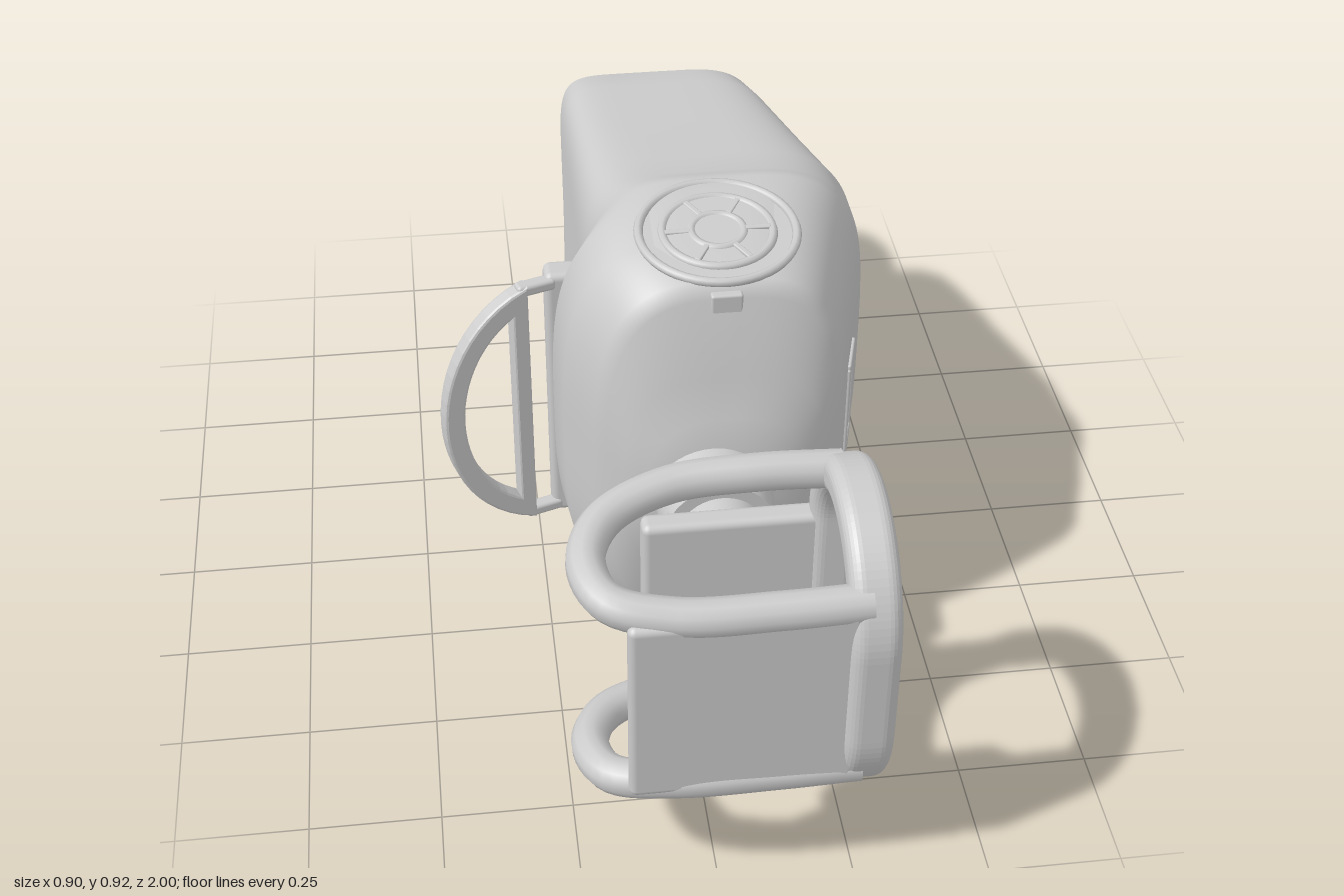
import * as THREE from 'three';
import { RoundedBoxGeometry } from 'three/addons/geometries/RoundedBoxGeometry.js';

const MID = 0.46; // height of the symmetry plane
const mat = new THREE.MeshStandardMaterial({ color: 0xcccccc, side: THREE.DoubleSide });

export function createModel() {
  const model = new THREE.Group();

  const add = (name, geo, x = 0, y = 0, z = 0, parent = model) => {
    const m = new THREE.Mesh(geo, mat);
    m.name = name;
    m.position.set(x, y, z);
    parent.add(m);
    return m;
  };
  const cyl = (r1, r2, h, axis, n = 40) => {
    const g = new THREE.CylinderGeometry(r1, r2, h, n);
    if (axis === 'x') g.rotateZ(-Math.PI / 2);
    if (axis === 'z') g.rotateX(Math.PI / 2);
    return g;
  };
  const box = (w, h, d, r = 0.01) => new RoundedBoxGeometry(w, h, d, 2, r);

  // Loft through superellipse sections: [z, xMin, xMax, half height, left exponent, right exponent, notch]
  const loft = (sections, N = 128) => {
    const pos = [], idx = [];
    for (const [z, x0, x1, h, nl, nr, notch = 0] of sections) {
      const cx = (x0 + x1) / 2;
      for (let j = 0; j < N; j++) {
        const t = (j / N) * Math.PI * 2, c = Math.cos(t), s = Math.sin(t);
        const e = 2 / (c < 0 ? nl : nr);
        const x = cx + Math.sign(c) * Math.abs(c) ** e * (x1 - x0) / 2;
        const dy = Math.sign(s) * Math.abs(s) ** e;
        pos.push(x, MID + dy * h, z + notch * (1 - dy * dy));
      }
    }
    for (let i = 0; i < sections.length - 1; i++) {
      for (let j = 0; j < N; j++) {
        const k = (j + 1) % N, a = i * N + j, b = i * N + k;
        idx.push(a, a + N, b, b, a + N, b + N);
      }
    }
    const g = new THREE.BufferGeometry();
    g.setAttribute('position', new THREE.Float32BufferAttribute(pos, 3));
    g.setIndex(idx);
    g.computeVertexNormals();
    return g;
  };

  // Main housing, tapering to an open, notched rear
  add('housing', loft([
    [0.425, 0.05, 0.09, 0.02, 2.4, 2.4],
    [0.42, -0.02, 0.19, 0.1, 2.4, 2.4],
    [0.4, -0.07, 0.24, 0.17, 2.5, 2.6],
    [0.37, -0.11, 0.285, 0.245, 2.7, 3],
    [0.335, -0.14, 0.315, 0.4, 2.9, 3.3],
    [0.31, -0.16, 0.325, 0.425, 3, 3.5],
    [0.2, -0.208, 0.357, 0.443, 3.2, 3.7],
    [0.09, -0.22, 0.388, 0.453, 3.2, 3.7],
    [0.01, -0.165, 0.413, 0.459, 3.6, 3.6],
    [-0.04, -0.145, 0.428, 0.437, 4.5, 3.5],
    [-0.1, -0.142, 0.441, 0.405, 6, 3.4],
    [-0.2, -0.142, 0.446, 0.382, 7, 3.4],
    [-0.4, -0.14, 0.4, 0.347, 8, 3.6, 0.02],
    [-0.62, -0.14, 0.348, 0.312, 8, 4, 0.05],
    [-0.7, -0.14, 0.325, 0.298, 8, 4.2, 0.08],
    [-0.73, -0.135, 0.305, 0.275, 8, 4.4, 0.095],
  ]));
  add('rearCavity', loft([
    [-0.73, -0.135, 0.305, 0.275, 8, 4.4, 0.095],
    [-0.715, -0.115, 0.285, 0.255, 8, 4.4, 0.09],
    [-0.57, -0.115, 0.29, 0.25, 8, 4.4],
    [-0.57, 0.08, 0.1, 0.01, 2, 2],
  ]));

  // Rear motor drum lying across the notch
  const motor = new THREE.Group();
  motor.name = 'rearMotor';
  motor.position.set(0.085, MID, -0.8);
  model.add(motor);
  add('motorDrum', cyl(0.2, 0.2, 0.256, 'x', 64), 0, 0, 0, motor);
  add('motorHub', cyl(0.1, 0.1, 0.045, 'x'), -0.15, 0, 0, motor);
  add('motorHubCap', cyl(0.03, 0.03, 0.008, 'x', 20), -0.173, 0, 0, motor);
  add('motorFaceDisc', cyl(0.065, 0.065, 0.01, 'x'), 0.13, 0, 0, motor);
  for (let i = 0; i < 12; i++) {
    const a = (i / 12) * Math.PI * 2, c = Math.cos(a), s = Math.sin(a);
    add('motorBolt', cyl(0.015, 0.015, 0.01, 'x', 8), 0.13, 0.115 * s, 0.115 * c, motor);
    add('motorRimBolt', cyl(0.007, 0.007, 0.01, 'x', 8), 0.13, 0.17 * s, 0.17 * c, motor);
    if (i % 2) add('hubBolt', cyl(0.01, 0.01, 0.008, 'x', 8), -0.174, 0.07 * s, 0.07 * c, motor);
  }
  for (const s of [1, -1]) for (let i = 0; i < 3; i++) {
    const vent = add('motorVent', cyl(0.012, 0.012, 0.006, 'y', 16), -0.025 + i * 0.035, s * 0.187, -0.07, motor);
    vent.scale.z = 2.4;
    vent.rotation.x = -s * 0.36;
  }

  // Round joint caps set almost flush in the upper and lower faces, each with a small latch in front
  for (const s of [1, -1]) {
    const cap = new THREE.Group();
    cap.name = s > 0 ? 'upperJointCap' : 'lowerJointCap';
    cap.position.set(0.095, MID + s * 0.44, 0.17);
    cap.rotation.x = s * 0.09;
    cap.scale.y = s;
    model.add(cap);
    for (const r of [0.15, 0.105, 0.05]) {
      add('capRing', new THREE.TorusGeometry(r, 0.009, 8, 48).rotateX(Math.PI / 2), 0, 0, 0, cap);
    }
    add('capDisc', cyl(0.145, 0.15, 0.02, 'y', 48), 0, -0.01, 0, cap);
    for (let i = 0; i < 6; i++) {
      const a = i * Math.PI / 3;
      const spoke = add('capSpoke', box(0.05, 0.012, 0.012, 0.003), 0.077 * Math.cos(a), 0.002, 0.077 * Math.sin(a), cap);
      spoke.rotation.y = -a;
    }
    add('frontLatch', box(0.06, 0.045, 0.02, 0.005), 0.09, MID + s * 0.388, 0.331);
  }

  // Framed slot on the bulged flank
  const slot = new THREE.Group();
  slot.name = 'sideSlot';
  slot.position.set(0.367, MID, 0.15);
  slot.rotation.y = -0.27;
  model.add(slot);
  for (const s of [1, -1]) {
    add('slotPost', box(0.02, 0.22, 0.015, 0.004), 0, 0, s * 0.045, slot);
    add('slotEnd', box(0.02, 0.03, 0.1, 0.004), 0, s * 0.105, 0, slot);
  }

  // D-shaped grab handle and its mounting rail on the flat flank
  add('handleRail', box(0.07, 0.6, 0.06, 0.015), -0.195, MID, 0.05);
  const handle = new THREE.Group();
  handle.name = 'sideHandle';
  handle.position.set(-0.22, MID, 0.07);
  handle.rotation.y = 0.31;
  model.add(handle);
  const dShape = new THREE.Shape();
  dShape.moveTo(-0.055, 0.285);
  dShape.bezierCurveTo(-0.29, 0.2, -0.29, -0.2, -0.055, -0.285);
  const hole = new THREE.Path();
  hole.moveTo(-0.08, -0.235);
  hole.bezierCurveTo(-0.24, -0.15, -0.24, 0.15, -0.08, 0.235);
  dShape.holes.push(hole);
  add('handleLoop', new THREE.ExtrudeGeometry(dShape, {
    depth: 0.024, bevelSize: 0.006, bevelThickness: 0.006, bevelSegments: 2, curveSegments: 24,
  }), 0, 0, -0.012, handle);
  for (const s of [1, -1]) add('handleLug', box(0.08, 0.025, 0.03, 0.008), -0.03, s * 0.28, 0, handle);

  // Wrist joining the housing to the front frame
  add('wristCollar', cyl(0.105, 0.115, 0.11, 'z'), 0.06, MID, 0.465);
  add('wristDisc', cyl(0.08, 0.08, 0.06, 'z'), 0.06, MID, 0.54);
  add('wristBracket', box(0.36, 0.2, 0.05, 0.015), 0.08, MID, 0.59);

  // Upright oval side ring of the front frame
  const stadium = (P, w, h) => {
    const p = new P(), r = w / 2, c = h / 2 - r;
    p.absarc(0, c, r, 0, Math.PI);
    p.absarc(0, -c, r, Math.PI, Math.PI * 2);
    p.closePath();
    return p;
  };
  const ring = stadium(THREE.Shape, 0.39, 0.58);
  ring.holes.push(stadium(THREE.Path, 0.36, 0.54));
  const ringMesh = add('sideRing', new THREE.ExtrudeGeometry(ring, {
    depth: 0.038, bevelSize: 0.026, bevelThickness: 0.026, bevelSegments: 6, curveSegments: 24,
  }), 0.276, 0.463, 0.778);
  ringMesh.rotation.y = -Math.PI / 2;

  // Upper and lower bows sweeping out from the ring
  const bowPoints = [
    [0.25, 0.25, 0.66], [0.1, 0.255, 0.66], [-0.06, 0.25, 0.67], [-0.18, 0.235, 0.73],
    [-0.22, 0.22, 0.82], [-0.19, 0.207, 0.91], [-0.08, 0.195, 0.946], [0.1, 0.193, 0.95], [0.25, 0.193, 0.946],
  ];
  for (const s of [1, -1]) {
    const path = new THREE.CatmullRomCurve3(bowPoints.map(([x, y, z]) => new THREE.Vector3(x, MID + s * y, z)));
    add(s > 0 ? 'upperBow' : 'lowerBow', new THREE.TubeGeometry(path, 64, 0.035, 12));
  }

  // Front plate with a finned block behind it
  add('frontPlate', box(0.4, 0.4, 0.03, 0.014), 0.035, MID, 0.965);
  add('finBlock', box(0.22, 0.22, 0.075, 0.008), 0.05, MID, 0.912);
  for (let i = 0; i < 7; i++) add('fin', box(0.012, 0.2, 0.03, 0.003), -0.04 + i * 0.03, MID, 0.872);

  return model;
}
